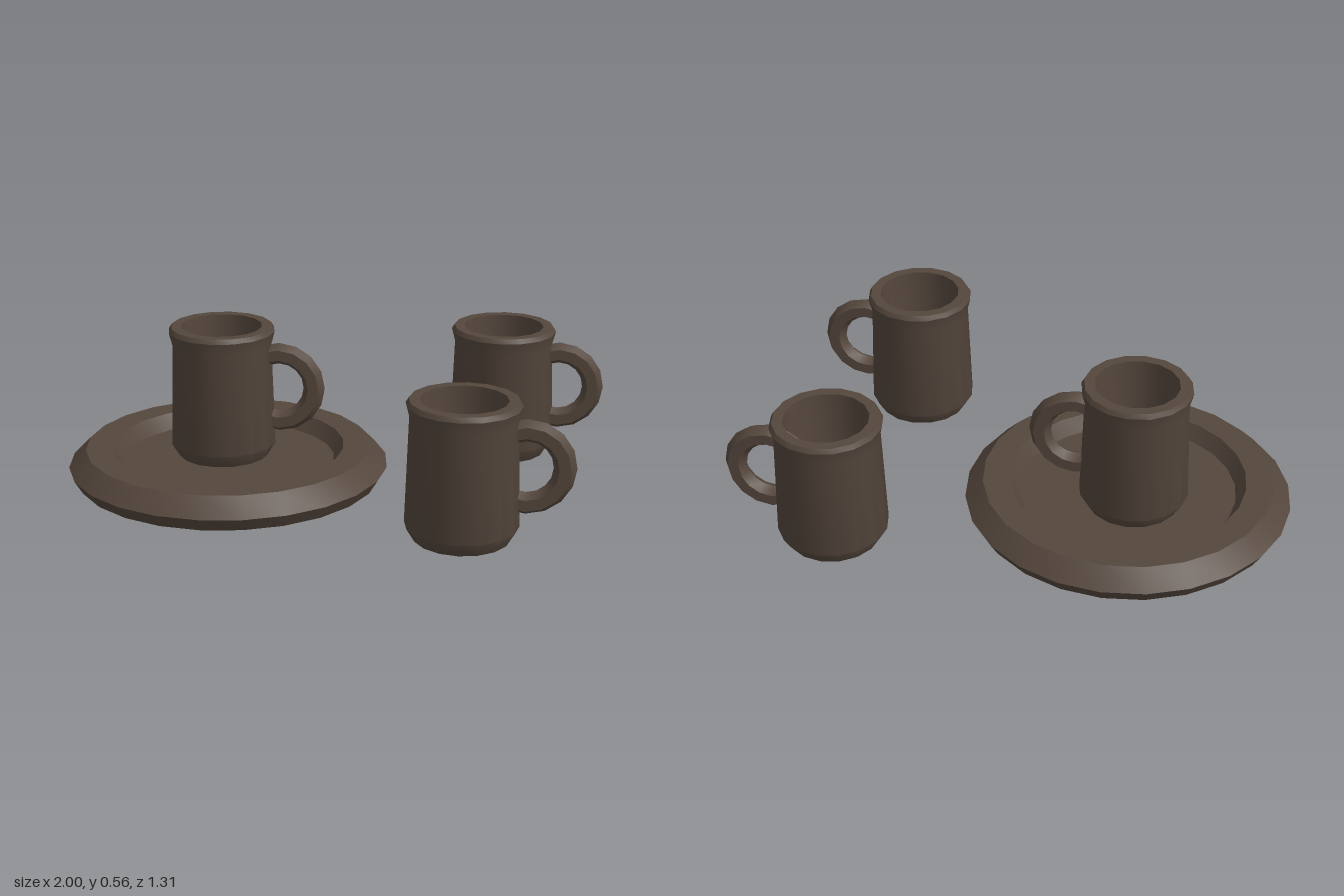
import * as THREE from 'three';
import { toCreasedNormals } from 'three/addons/utils/BufferGeometryUtils.js';

const CREASE = 0.62;

// Spins a closed [radius, height] profile, keeping its hard edges sharp
function turned(profile, segments) {
  const points = profile.map(([r, y]) => new THREE.Vector2(r, y));
  return toCreasedNormals(new THREE.LatheGeometry(points, segments), CREASE);
}

export function createModel() {
  const model = new THREE.Group();
  model.name = 'mugsAndPlate';

  const clay = new THREE.MeshStandardMaterial({ color: 0x54463c });
  clay.name = 'darkBrownClay';

  // Plate with a bevelled rim and sunken floor
  const plate = new THREE.Mesh(turned([
    [0, 0], [0.57, 0], [0.6, 0.05], [0.535, 0.117],
    [0.435, 0.117], [0.4, 0.06], [0, 0.06],
  ], 24), clay);
  plate.name = 'plate';
  plate.position.set(-0.4, 0, -0.055);
  model.add(plate);

  // Hollow mug body: bevelled foot, slight taper, flared rim
  const bodyGeometry = turned([
    [0, 0], [0.17, 0], [0.2, 0.05], [0.187, 0.435], [0.2, 0.485],
    [0.19, 0.502], [0.152, 0.502], [0.13, 0.05], [0, 0.05],
  ], 16);

  // Ring handle with a six-sided section, sunk into the wall
  const handleGeometry = toCreasedNormals(new THREE.TorusGeometry(0.132, 0.04, 6, 16), CREASE);

  const mugs = [
    ['plateMug', -0.43, 0.06, -0.118],
    ['backMug', 0.61, 0, -0.457],
    ['frontMug', 0.51, 0, 0.457],
  ];
  for (const [name, x, y, z] of mugs) {
    const mug = new THREE.Group();
    mug.name = name;
    mug.position.set(x, y, z);

    const body = new THREE.Mesh(bodyGeometry, clay);
    body.name = 'mugBody';
    const handle = new THREE.Mesh(handleGeometry, clay);
    handle.name = 'mugHandle';
    handle.position.set(0.216, 0.27, 0);

    mug.add(body, handle);
    model.add(mug);
  }

  return model;
}
